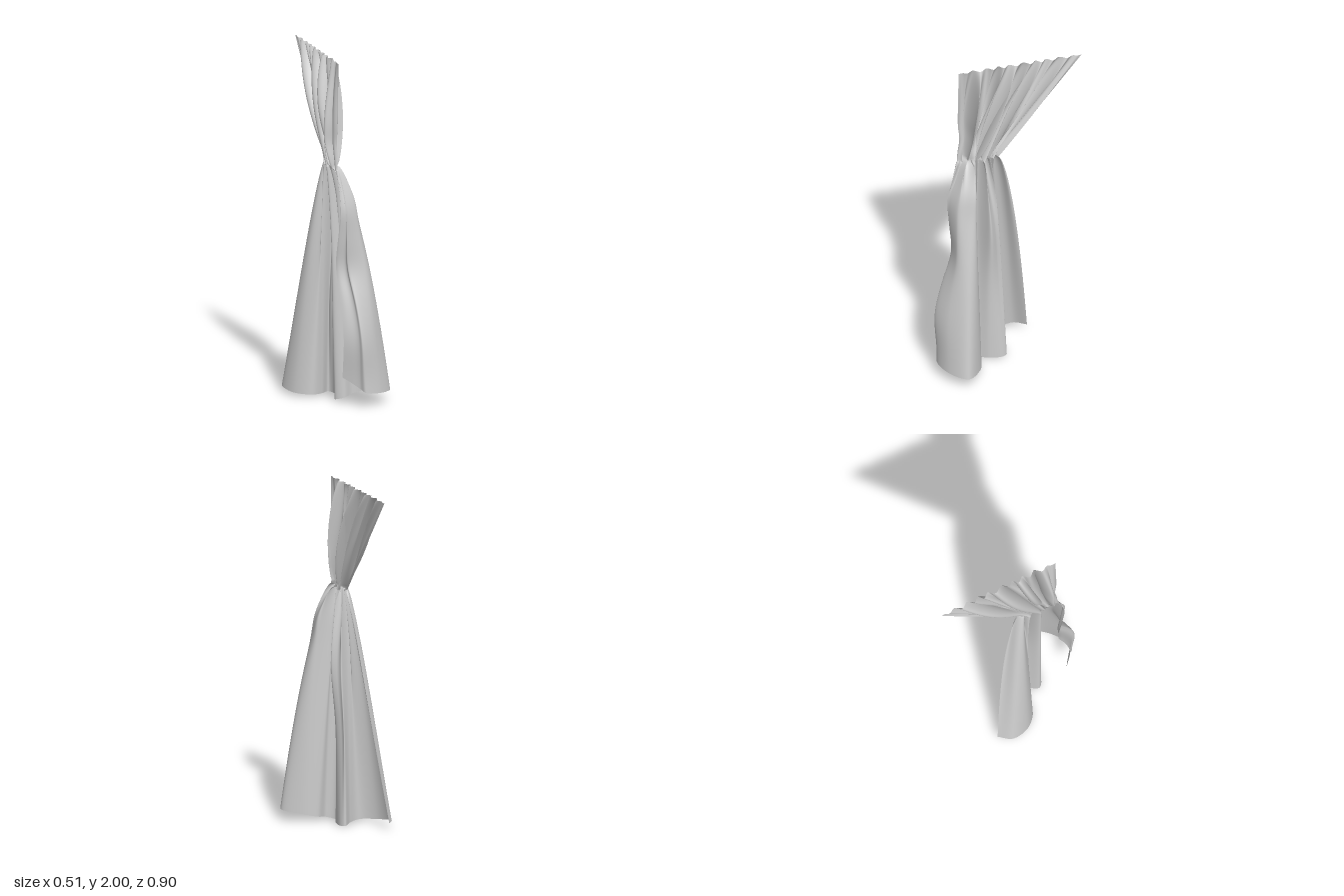
import * as THREE from 'three';

const TIE_Y = 1.38, TOP_Y = 2, COLS = 280, ROWS_UP = 44, ROWS_DOWN = 60;
const { lerp, smoothstep } = THREE.MathUtils;
const bump = (x, centre, width) => Math.exp(-(((x - centre) / width) ** 2));

// Hem from the back free edge to the front free edge: x, height, z
const hem = new THREE.CatmullRomCurve3([
  [-0.205, 0.04, -0.17], [-0.254, 0.035, -0.095], [-0.225, 0.02, 0.02], [-0.14, 0.015, 0.085],
  [-0.065, 0.01, 0.055], [-0.01, 0.005, 0.005], [0.008, 0.003, 0.03], [0, 0.003, 0.11],
  [-0.035, 0.002, 0.185], [0.01, 0.015, 0.215], [0.08, 0.03, 0.185], [0.17, 0.05, 0.215],
  [0.254, 0.065, 0.305], [0.17, 0.075, 0.405], [0.06, 0.09, 0.438], [0.035, 0.11, 0.405],
  [-0.005, 0.14, 0.372], [-0.05, 0.17, 0.34],
].map(p => new THREE.Vector3(...p)));

// Tight folds gathered at the tie, at slightly uneven heights
function gathered(u) {
  const a = u * Math.PI * 2;
  const fade = 0.3 + 0.7 * Math.sin(Math.PI * u);
  return new THREE.Vector3(
    -0.045 - 0.015 * u + fade * (0.027 * Math.sin(a * 8) + 0.01 * Math.sin(a * 3 + 1)),
    TIE_Y + 0.015 * Math.sin(a * 4) * fade,
    lerp(0.045, 0.285, u) + 0.014 * fade * Math.cos(a * 8 + 0.8));
}

// Upper fan: t = 0 at the rail, 1 at the tie
function upper(u, t) {
  const a = u * Math.PI * 2, tie = gathered(u);
  const swell = Math.pow(Math.max(0, Math.sin(Math.PI * Math.pow(t, 1.1))), 0.7);
  const edge = Math.min(1, 8 * u, 8 * (1 - u));
  const pleat = a * 10 + 0.6 * Math.sin(a * 3);
  const rail = -0.042 - 0.008 * u + 0.012 * edge * Math.sin(pleat);
  const folds = 0.017 * Math.sin(pleat + t) + lerp(0.018, 0.06, u) * Math.sin(a * 4 + 1.2 * t) - 0.006 * u;
  return new THREE.Vector3(
    lerp(rail, tie.x, t * t * (3 - 2 * t)) + swell * edge * folds,
    lerp(TOP_Y, tie.y, t),
    lerp(lerp(-0.448, 0.28, u), tie.z, t) + swell * edge * 0.014 * Math.cos(pleat + t)
      - 0.012 * smoothstep(u, 0.7, 1) * bump(t, 0.75, 0.12));
}

// Lower skirt: s = 0 at the tie, 1 at the hem
function lower(u, s) {
  const tie = gathered(u), end = hem.getPoint(u);
  const side = smoothstep(u, 0.2, 0.7);
  const back = 1 - smoothstep(u, 0, 0.08);
  const wx = Math.pow(s, lerp(0.82, 0.54, side) + 0.45 * back);
  const wz = Math.pow(s, lerp(0.62, 0.54, side));
  const p = new THREE.Vector3(lerp(tie.x, end.x, wx), lerp(tie.y, end.y, s), lerp(tie.z, end.z, wz));
  // Soft dents and swells down the front edge
  const front = smoothstep(u, 0.72, 0.85);
  p.z += front * (0.025 * bump(p.y, 1.15, 0.12) - 0.035 * bump(p.y, 0.8, 0.14) + 0.038 * bump(p.y, 0.4, 0.2));
  p.x -= front * 0.015 * bump(p.y, 0.85, 0.2);
  // Rounded shoulders of the middle fold and the large side fold
  p.x += 0.045 * bump(u, 0.37, 0.07) * bump(p.y, 0.95, 0.3);
  p.x += 0.015 * bump(u, 0.7, 0.1) * bump(p.y, 1.2, 0.1);
  return p;
}

// Continuous sheet of cloth from the rail to the hem
function sheet() {
  const pos = [], idx = [], rows = ROWS_UP + ROWS_DOWN;
  for (let r = 0; r <= rows; r++) {
    for (let c = 0; c <= COLS; c++) {
      const u = c / COLS;
      const p = r <= ROWS_UP ? upper(u, r / ROWS_UP)
        : lower(u, Math.pow((r - ROWS_UP) / ROWS_DOWN, 1.5));
      pos.push(p.x, p.y, p.z);
      if (r < rows && c < COLS) {
        const i = r * (COLS + 1) + c, j = i + COLS + 1;
        idx.push(i, j, i + 1, i + 1, j, j + 1);
      }
    }
  }
  const g = new THREE.BufferGeometry();
  g.setAttribute('position', new THREE.Float32BufferAttribute(pos, 3));
  g.setIndex(idx);
  g.computeVertexNormals();
  return g;
}

export function createModel() {
  const group = new THREE.Group();
  group.name = 'tiedCurtain';
  const cloth = new THREE.Mesh(sheet(),
    new THREE.MeshStandardMaterial({ color: 0xcccccc, side: THREE.DoubleSide }));
  cloth.name = 'curtainCloth';
  group.add(cloth);
  return group;
}
